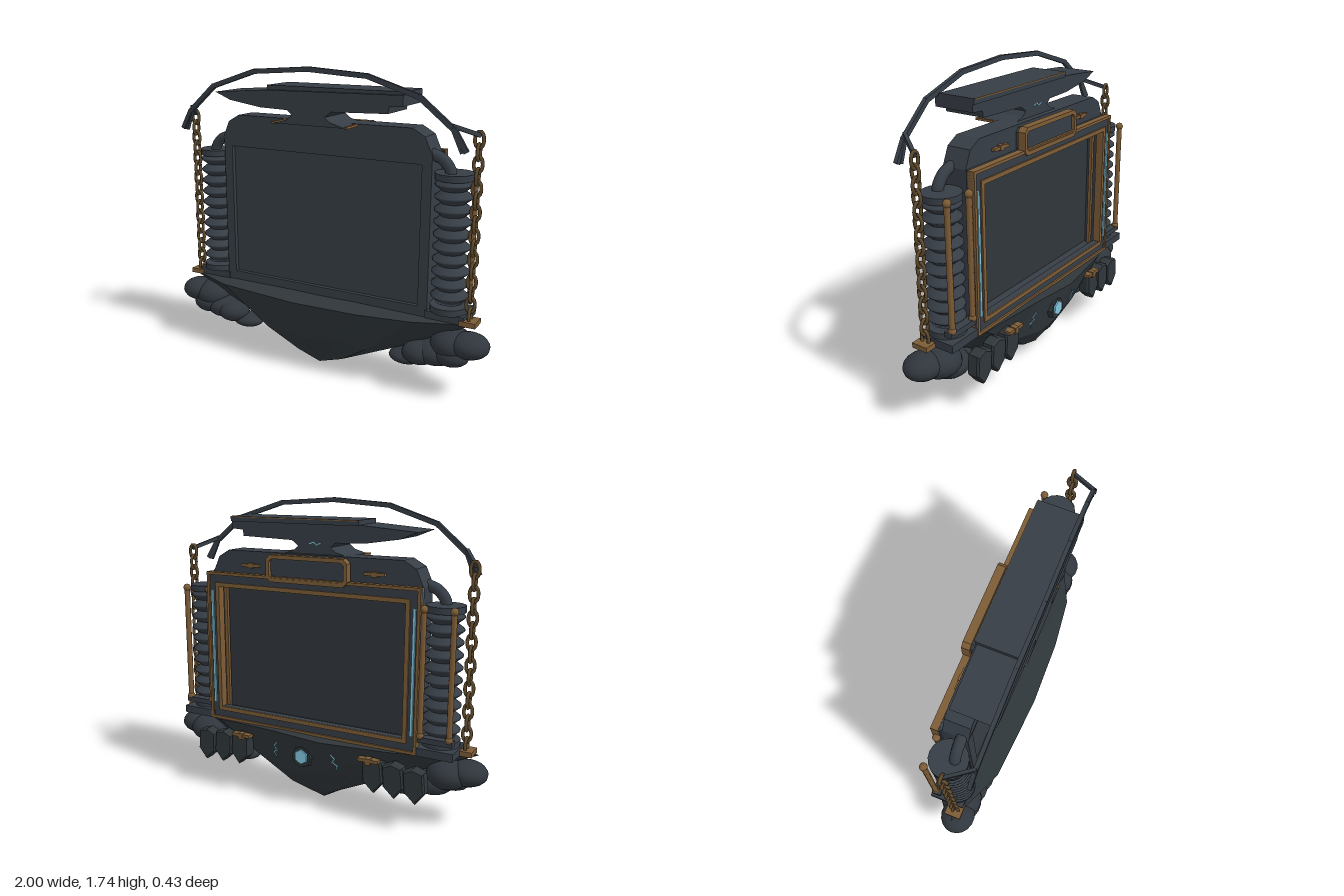
import * as THREE from 'three';

const mat = (name, color, extra = {}) => {
  const m = new THREE.MeshStandardMaterial({ color, ...extra });
  m.name = name;
  return m;
};

export function createModel() {
  const M = {
    body: mat('slate', 0x363d45),
    screen: mat('dark screen', 0x30363c),
    rock: mat('rock', 0x2f363a, { flatShading: true }),
    cloud: mat('cloud grey', 0x30363d),
    bronze: mat('bronze', 0x7d5c36),
    chain: mat('aged bronze', 0x5f4a2d),
    glow: mat('pale cyan', 0x82c8e0),
  };
  const root = new THREE.Group();
  const add = (name, geo, m, x = 0, y = 0, z = 0, parent = root) => {
    const mesh = new THREE.Mesh(geo, m);
    mesh.name = name;
    mesh.position.set(x, y, z);
    parent.add(mesh);
    return mesh;
  };
  const box = (name, w, h, d, m, x, y, z, parent) =>
    add(name, new THREE.BoxGeometry(w, h, d), m, x, y, z, parent);
  // Extruded outline between two z values
  const slab = (name, pts, z0, z1, m, hole) => {
    const s = new THREE.Shape(pts.map(p => new THREE.Vector2(...p)));
    if (hole) s.holes.push(new THREE.Path(hole.map(p => new THREE.Vector2(...p))));
    return add(name, new THREE.ExtrudeGeometry(s, { depth: z1 - z0, bevelEnabled: false }), m, 0, 0, z0);
  };
  const rect = (w, y0, y1) => [[-w, y0], [w, y0], [w, y1], [-w, y1]];
  const ring = (name, w, y0, y1, t, z0, z1, m) =>
    slab(name, rect(w, y0, y1), z0, z1, m, rect(w - t, y0 + t, y1 - t).reverse());
  // Square bar from a to b
  const bar = (name, a, b, w, d, m) => {
    const A = new THREE.Vector3(...a), B = new THREE.Vector3(...b);
    const mesh = box(name, w, d, A.distanceTo(B) + w * 0.5, m, 0, 0, 0);
    mesh.position.copy(A).add(B).multiplyScalar(0.5);
    mesh.lookAt(B);
    return mesh;
  };

  // Floating rock: shrinking rings down to one tip
  const outline = [[-0.95, 0.03], [-0.6, 0.18], [-0.1, 0.215], [0.3, 0.205], [0.6, 0.17],
    [0.9, 0.03], [0.6, -0.14], [0.2, -0.185], [-0.12, -0.215], [-0.55, -0.15]];
  const n = outline.length, pos = [0, 0.435, 0], idx = [];
  [[0.43, 1, 1], [0.21, 0.53, 0.75], [0.095, 0.24, 0.4]].forEach(([y, sx, sz], k) =>
    outline.forEach(([x, z], i) =>
      pos.push(x * sx, y + (k ? 0.022 * Math.sin(i * 2.3 + k) : 0.006 * Math.sin(i * 2)), z * sz)));
  pos.push(-0.03, 0, 0.02);
  for (let i = 0; i < n; i++) {
    const j = (i + 1) % n;
    idx.push(0, 1 + i, 1 + j);
    for (let k = 0; k < 2; k++) {
      const a = 1 + k * n, b = a + n;
      idx.push(b + i, b + j, a + j, b + i, a + j, a + i);
    }
    idx.push(1 + 3 * n, 1 + 2 * n + j, 1 + 2 * n + i);
  }
  const rockGeo = new THREE.BufferGeometry();
  rockGeo.setAttribute('position', new THREE.Float32BufferAttribute(pos, 3));
  rockGeo.setIndex(idx);
  rockGeo.computeVertexNormals();
  const rock = add('floatingRock', rockGeo, M.rock);
  const ray = new THREE.Raycaster();
  const rockBack = (x, y) => {
    ray.set(new THREE.Vector3(x, y, -1), new THREE.Vector3(0, 0, 1));
    const hit = ray.intersectObject(rock)[0];
    return hit ? hit.point.z : -0.15;
  };

  // Cabinet: hollow body, recessed front panel and rear screen
  ring('cabinetBody', 0.65, 0.43, 1.31, 0.055, -0.09, 0.055, M.body);
  box('frontPanel', 1.2, 0.82, 0.04, M.body, 0, 0.86, 0.01);
  box('rearScreen', 1.2, 0.82, 0.01, M.screen, 0, 0.86, -0.016);
  slab('topHousing', [[-0.65, 1.31], [0.65, 1.31], [0.61, 1.4], [0.54, 1.44], [-0.54, 1.44], [-0.61, 1.4]],
    -0.08, 0.06, M.body);
  ring('rearFrame', 0.66, 0.43, 1.31, 0.08, -0.13, -0.09, M.body);
  ring('outerTrim', 0.66, 0.43, 1.315, 0.016, -0.14, -0.1, M.bronze);
  ring('innerTrim', 0.603, 0.485, 1.255, 0.024, -0.138, -0.09, M.bronze);

  // Rear handle plate
  const plaque = (w, y0, y1, c) => [[-w + c, y0], [w - c, y0], [w, y0 + c], [w, y1 - c],
    [w - c, y1], [-w + c, y1], [-w, y1 - c], [-w, y0 + c]];
  slab('handleFrame', plaque(0.25, 1.285, 1.435, 0.025), -0.146, -0.1, M.bronze,
    plaque(0.23, 1.307, 1.413, 0.015).reverse());
  slab('handlePlate', plaque(0.24, 1.295, 1.425, 0.02), -0.125, -0.078, M.body);

  // Anvil on top, with horn towards the right
  slab('anvilBody', [[-0.6, 1.58], [-0.5, 1.54], [-0.3, 1.51], [-0.13, 1.505], [-0.1, 1.48], [-0.13, 1.455],
    [-0.22, 1.43], [0.22, 1.43], [0.13, 1.455], [0.1, 1.48], [0.14, 1.51], [0.46, 1.52], [0.465, 1.555],
    [0.54, 1.56], [0.54, 1.615], [-0.27, 1.605]], -0.045, 0.19, M.body);
  box('anvilTop', 0.81, 0.03, 0.22, M.body, 0.135, 1.615, 0.055);
  for (const s of [1, -1]) box('anvilFootTrim', 0.016, 0.012, 0.23, M.bronze, s * 0.222, 1.433, 0.074);
  box('anvilTopTrim', 0.8, 0.006, 0.006, M.bronze, 0.135, 1.627, -0.055);

  // Overhead arch made of straight bars
  const arch = [[0.86, 1.36, 0.158], [0.8, 1.46, 0.163], [0.62, 1.61, 0.175], [0.34, 1.7, 0.182], [0, 1.723, 0.186]];
  for (const s of [1, -1]) {
    for (let i = 0; i < 4; i++) {
      const f = p => [p[0] * s, p[1], p[2]];
      bar('archBar', f(arch[i]), f(arch[i + 1]), 0.022, 0.026, M.body);
    }
    bar('chainArm', [s * 0.79, 1.48, 0.165], [s * 0.88, 1.425, 0.025], 0.018, 0.022, M.body);
    bar('archFoot', [s * 0.79, 1.47, 0.163], [s * 0.84, 1.355, 0.155], 0.018, 0.022, M.body);
  }

  // Ribbed side column profile
  const ribs = 10, profile = [[0, 0.52], [0.075, 0.52]];
  for (let i = 0; i < ribs; i++) {
    const y = 0.525 + i * 0.067;
    profile.push([0.064, y], [0.1, y + 0.028], [0.1, y + 0.038], [0.064, y + 0.066]);
  }
  profile.push([0, 1.196]);
  const columnGeo = new THREE.LatheGeometry(profile.map(p => new THREE.Vector2(...p)), 20);
  const discGeo = new THREE.CylinderGeometry(0.103, 0.103, 0.035, 20);

  // One oval chain link
  class Oval extends THREE.Curve {
    getPoint(t, v = new THREE.Vector3()) {
      return v.set(0.023 * Math.cos(t * 2 * Math.PI), 0.043 * Math.sin(t * 2 * Math.PI), 0);
    }
  }
  const linkGeo = new THREE.TubeGeometry(new Oval(), 14, 0.0095, 6, true);
  const puffGeo = new THREE.SphereGeometry(1, 18, 12);
  const puffs = [[0.89, 0.315, 0.04, 0.11, 0.07, 0.1], [0.79, 0.3, 0.02, 0.12, 0.085, 0.12],
    [0.7, 0.235, 0.03, 0.12, 0.07, 0.11], [0.62, 0.225, 0.06, 0.1, 0.065, 0.09],
    [0.53, 0.175, 0.03, 0.1, 0.042, 0.08], [0.8, 0.25, 0.07, 0.1, 0.06, 0.07]];
  const shield = new THREE.Shape([[-0.05, 0.07], [-0.052, -0.035], [0, -0.09], [0.052, -0.035], [0.05, 0.07], [0, 0.09]]
    .map(p => new THREE.Vector2(...p)));
  const shieldGeo = new THREE.ExtrudeGeometry(shield,
    { depth: 0.05, bevelEnabled: true, bevelSize: 0.008, bevelThickness: 0.012, bevelSegments: 1 });

  for (const s of [1, -1]) {
    const side = new THREE.Group();
    side.name = s > 0 ? 'leftSide' : 'rightSide';
    root.add(side);
    // Column with base, caps, pipe and rods
    add('ribbedColumn', columnGeo, M.body, s * 0.75, 0, -0.01, side);
    add('columnCap', discGeo, M.body, s * 0.75, 1.202, -0.01, side);
    add('columnFoot', discGeo, M.body, s * 0.75, 0.488, -0.01, side);
    box('columnBase', 0.22, 0.045, 0.2, M.body, s * 0.75, 0.45, -0.035, side);
    const path = new THREE.CatmullRomCurve3([[0.742, 1.2], [0.737, 1.235], [0.695, 1.287], [0.63, 1.312]]
      .map(([x, y]) => new THREE.Vector3(x * s, y, 0.02)));
    add('elbowPipe', new THREE.TubeGeometry(path, 10, 0.03, 10), M.body, 0, 0, 0, side);
    for (const x of [0.67, 0.83]) {
      add('columnRod', new THREE.CylinderGeometry(0.016, 0.016, 0.69, 8), M.bronze, s * x, 0.87, -0.112, side);
      for (const y of [0.535, 1.205])
        add('rodEnd', new THREE.SphereGeometry(0.022, 10, 8), M.bronze, s * x, y, -0.112, side);
    }
    box('rodBracket', 0.2, 0.03, 0.05, M.body, s * 0.75, 0.515, -0.1, side);
    // Bronze reveal, glowing strip and clasps on the rear frame
    box('screenSideTrim', 0.02, 0.77, 0.02, M.bronze, s * 0.584, 0.87, -0.055, side);
    box('lightStrip', 0.014, 0.68, 0.009, M.glow, s * 0.628, 0.87, -0.1345, side);
    box('topClasp', 0.12, 0.016, 0.02, M.bronze, s * 0.385, 1.36, -0.09, side);
    box('topClaspPin', 0.03, 0.028, 0.026, M.bronze, s * 0.385, 1.36, -0.09, side);
    // Chain and anchor plate
    box('chainAnchor', 0.09, 0.028, 0.095, M.bronze, s * 0.88, 0.44, 0.025, side);
    for (let i = 0; i < 16; i++)
      add('chainLink', linkGeo, M.chain, s * 0.88, 0.475 + i * 0.0618, 0.025, side).rotation.y = i % 2 ? 0 : Math.PI / 2;
    // Cloud puffs under the rock
    for (const [x, y, z, a, b, c] of puffs)
      add('cloudPuff', puffGeo, M.cloud, s * x, y, z, side).scale.set(a, b, c);
    // Hanging shields and bronze clasp on the rear
    [0.43, 0.55, 0.67].forEach((x, i) =>
      add('hangingShield', shieldGeo, M.rock, s * x, 0.285 - i * 0.007, -0.175, side).rotation.z = s * 0.08);
    box('rockClasp', 0.12, 0.018, 0.04, M.bronze, s * 0.41, 0.372, -0.18, side);
    box('rockClaspPin', 0.03, 0.036, 0.04, M.bronze, s * 0.41, 0.368, -0.184, side);
    // Glowing zigzag cracks
    const crack = [[0.18, 0.36], [0.2, 0.335], [0.185, 0.31], [0.21, 0.29], [0.2, 0.265]]
      .map(([x, y]) => [x * s, y, rockBack(x * s, y) - 0.002]);
    for (let i = 0; i < 4; i++) bar('glowCrack', crack[i], crack[i + 1], 0.006, 0.006, M.glow);
  }

  // Faceted gem in a stone setting on the rear of the rock
  const gemZ = rockBack(0, 0.315);
  const setting = add('gemSetting', new THREE.CylinderGeometry(0.06, 0.068, 0.03, 8), M.rock, 0, 0.315, gemZ - 0.005);
  setting.rotation.x = -Math.PI / 2;
  const gem = add('gem', new THREE.CylinderGeometry(0.042, 0.046, 0.01, 6), M.glow, 0, 0.318, gemZ - 0.022);
  gem.rotation.x = -Math.PI / 2;

  // Small crack on the anvil neck
  const neck = [[-0.04, 1.5, -0.046], [-0.015, 1.49, -0.046], [0, 1.505, -0.046], [0.03, 1.495, -0.046]];
  for (let i = 0; i < 3; i++) bar('anvilCrack', neck[i], neck[i + 1], 0.005, 0.005, M.glow);

  return root;
}
